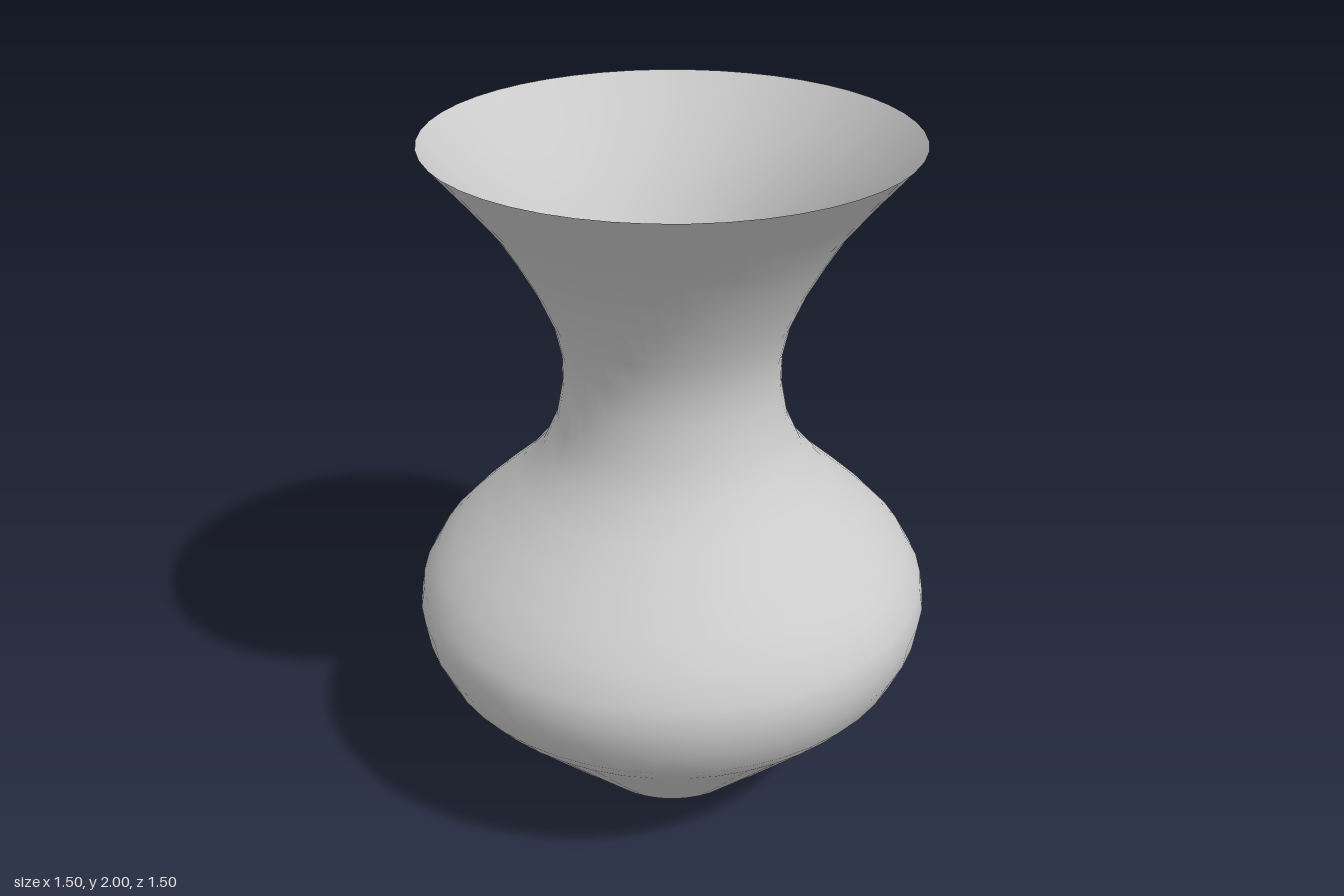
import * as THREE from 'three';

// Vase outline from foot to rim: [radius, height]
const PROFILE = [
  [0.267, 0], [0.43, 0.165], [0.595, 0.335], [0.658, 0.40], [0.703, 0.455], [0.74, 0.54],
  [0.752, 0.62], [0.74, 0.69], [0.695, 0.77], [0.63, 0.84], [0.545, 0.92],
  [0.45, 1.005], [0.373, 1.095], [0.33, 1.19], [0.309, 1.30], [0.309, 1.39],
  [0.33, 1.485], [0.38, 1.60], [0.43, 1.69], [0.485, 1.78], [0.57, 1.885], [0.668, 2],
];

export function createModel() {
  const model = new THREE.Group();
  model.name = 'vase';

  // Thin turned wall, open at the foot and the rim
  const points = PROFILE.map(([r, y]) => new THREE.Vector2(r, y));
  const wall = new THREE.Mesh(
    new THREE.LatheGeometry(points, 48),
    new THREE.MeshStandardMaterial({ color: 0xcccccc, side: THREE.DoubleSide })
  );
  wall.name = 'vaseWall';
  model.add(wall);
  return model;
}
